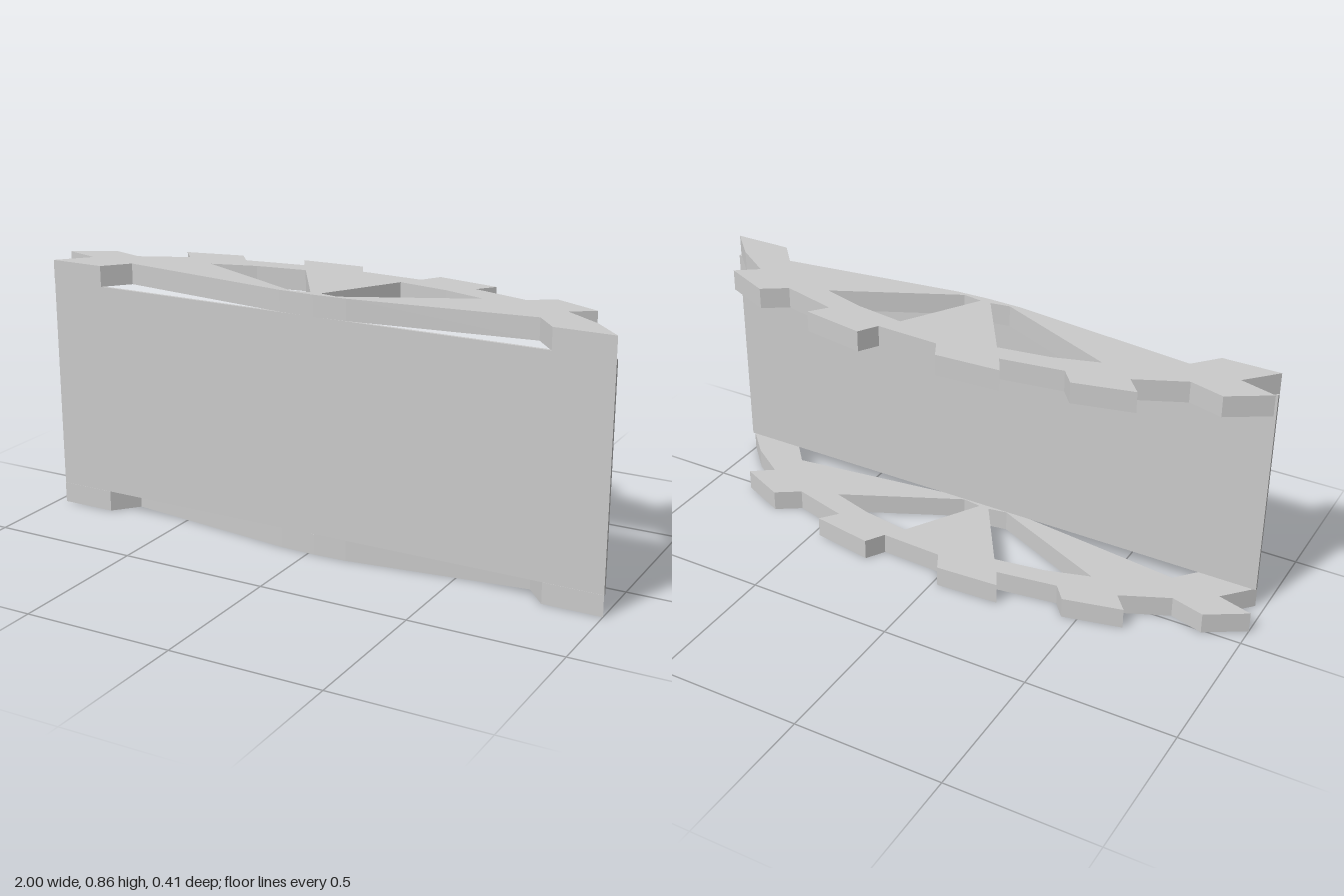
import * as THREE from 'three';

// Plan outline of one toothed arch plate, as [x, z]
const OUTLINE = [
  [-0.97, 0.204], [-0.88, 0.105], [-1, 0.07], [-0.87, -0.01], [-0.755, 0.023], [-0.595, -0.05],
  [-0.645, -0.11], [-0.45, -0.155], [-0.405, -0.1], [-0.2, -0.13], [-0.235, -0.193], [-0.02, -0.204],
  [0.013, -0.14], [0.227, -0.13], [0.265, -0.193], [0.475, -0.157], [0.43, -0.1], [0.62, -0.048],
  [0.7, -0.1], [0.855, -0.03], [0.783, 0.022], [0.905, 0.105], [1, 0.204], [0.805, 0.204],
  [0.735, 0.123], [0.135, 0.2], [0.02, 0.204], [-0.1, 0.2], [-0.71, 0.123], [-0.78, 0.204],
];

// Openings either side of the central spoke
const OPENINGS = [
  [[-0.48, 0], [-0.33, -0.045], [-0.16, -0.07], [0, 0.18], [-0.065, 0.19]],
  [[0.185, -0.07], [0.355, -0.043], [0.5, 0], [0.1, 0.19], [0.035, 0.18]],
];

const PLATE = 0.07;
const HEIGHT = 0.86;

const toPoints = (list) => list.map(([x, z]) => new THREE.Vector2(x, -z));

export function createModel() {
  const group = new THREE.Group();
  const material = new THREE.MeshStandardMaterial({
    color: 0xcccccc, flatShading: true, side: THREE.DoubleSide,
  });

  // Two identical arch plates, bottom and top
  const shape = new THREE.Shape(toPoints(OUTLINE));
  shape.holes = OPENINGS.map((hole) => new THREE.Path(toPoints(hole)));
  const plateGeometry = new THREE.ExtrudeGeometry(shape, { depth: PLATE, bevelEnabled: false });
  plateGeometry.rotateX(-Math.PI / 2);
  for (const [name, y] of [['bottomPlate', 0], ['topPlate', HEIGHT - PLATE]]) {
    const plate = new THREE.Mesh(plateGeometry, material);
    plate.name = name;
    plate.position.y = y;
    group.add(plate);
  }

  // Thin flat panel joining the plates along the front
  const panel = new THREE.Mesh(new THREE.BoxGeometry(1.97, HEIGHT - 2 * PLATE, 0.01), material);
  panel.name = 'frontPanel';
  panel.position.set(0.015, HEIGHT / 2, 0.198);
  group.add(panel);

  return group;
}
